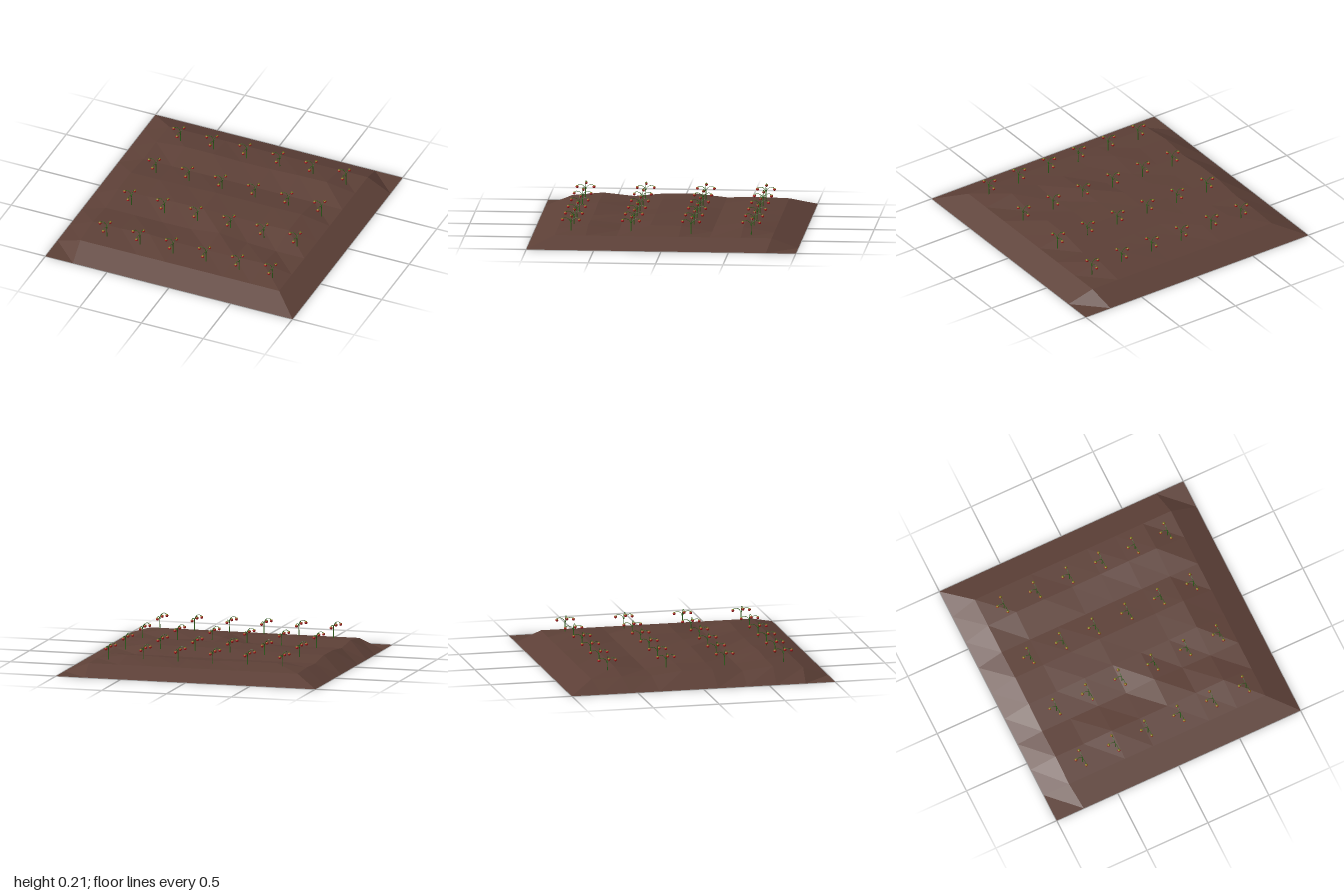
import * as THREE from 'three';

const soil = new THREE.MeshStandardMaterial({ color: 0x5d4037, flatShading: true, side: THREE.DoubleSide });
const green = new THREE.MeshStandardMaterial({ color: 0x33691e });
const lime = new THREE.MeshStandardMaterial({ color: 0x827717 });
const red = new THREE.MeshStandardMaterial({ color: 0xb71c1c });
const V = (x, y, z) => new THREE.Vector3(x, y, z);

// Heights (thousandths) of the inner 8 x 8 soil points, back row first
const HEIGHTS = [
  [75, 75, 75, 75, 75, 75, 75, 75],
  [82, 105, 105, 98, 100, 108, 112, 75],
  [75, 75, 75, 75, 75, 75, 75, 75],
  [100, 100, 105, 113, 113, 112, 115, 75],
  [98, 98, 110, 115, 113, 112, 117, 75],
  [75, 75, 75, 78, 110, 85, 75, 75],
  [98, 98, 112, 100, 100, 105, 113, 75],
  [75, 75, 75, 75, 75, 75, 75, 75],
];

// Open sheet: rim on the ground, inner points raised and spread slightly
function makeSoil() {
  const n = 10, pos = [], index = [];
  for (let r = 0; r < n; r++) {
    for (let c = 0; c < n; c++) {
      const rim = r === 0 || c === 0 || r === n - 1 || c === n - 1;
      const s = rim ? 1 : 1.035;
      pos.push((-1 + c * 2 / 9) * s, rim ? 0 : HEIGHTS[r - 1][c - 1] / 1000, (-1 + r * 2 / 9) * s);
      if (r < n - 1 && c < n - 1) {
        const a = r * n + c, b = a + n;
        index.push(a, b, b + 1, a, b + 1, a + 1);
      }
    }
  }
  const g = new THREE.BufferGeometry();
  g.setAttribute('position', new THREE.Float32BufferAttribute(pos, 3));
  g.setIndex(index);
  g.computeVertexNormals();
  const mesh = new THREE.Mesh(g, soil);
  mesh.name = 'soilBed';
  return mesh;
}

// Shared plant geometries
const R = 0.011;
const stemGeo = new THREE.CylinderGeometry(0.0025, 0.004, 0.1, 6);
const berryGeo = new THREE.SphereGeometry(R, 10, 8);
const capGeo = new THREE.SphereGeometry(R * 1.06, 10, 4, 0, Math.PI * 2, 0, Math.PI * 0.32);
const twigGeo = (points) =>
  new THREE.TubeGeometry(new THREE.CatmullRomCurve3(points), 10, 0.002, 5);
const sideTwig = twigGeo([V(0, 0.145, 0), V(-0.012, 0.174, 0), V(-0.036, 0.187, 0), V(-0.056, 0.185, 0), V(-0.063, 0.172, 0)]);
const topTwig = twigGeo([V(0, 0.17, 0), V(-0.008, 0.193, 0), V(-0.026, 0.207, 0), V(-0.045, 0.206, 0), V(-0.055, 0.192, 0)]);

function makeBranch(geo, x, y, turn) {
  const branch = new THREE.Group();
  branch.name = 'branch';
  const add = (g, mat, name) => {
    const m = new THREE.Mesh(g, mat);
    m.name = name;
    branch.add(m);
    return m;
  };
  add(geo, green, 'twig');
  add(berryGeo, red, 'berry').position.set(x, y, 0);
  add(capGeo, lime, 'berryCap').position.set(x, y, 0);
  branch.rotation.y = turn;
  return branch;
}

function makePlant() {
  const plant = new THREE.Group();
  plant.name = 'plant';
  const stem = new THREE.Mesh(stemGeo, green);
  stem.name = 'stem';
  stem.position.y = 0.13;
  plant.add(stem);
  // Two low branches front and back, a taller one to the right
  plant.add(makeBranch(sideTwig, -0.063, 0.171, Math.PI / 2));
  plant.add(makeBranch(sideTwig, -0.063, 0.171, -Math.PI / 2));
  plant.add(makeBranch(topTwig, -0.055, 0.19, 0));
  return plant;
}

export function createModel() {
  const model = new THREE.Group();
  model.name = 'plantedField';
  model.add(makeSoil());
  // Four rows of six plants
  for (let r = 0; r < 4; r++) {
    for (let c = 0; c < 6; c++) {
      const plant = makePlant();
      plant.position.set(-0.64 + c * 0.268, 0, -0.645 + r * 0.446);
      model.add(plant);
    }
  }
  return model;
}
